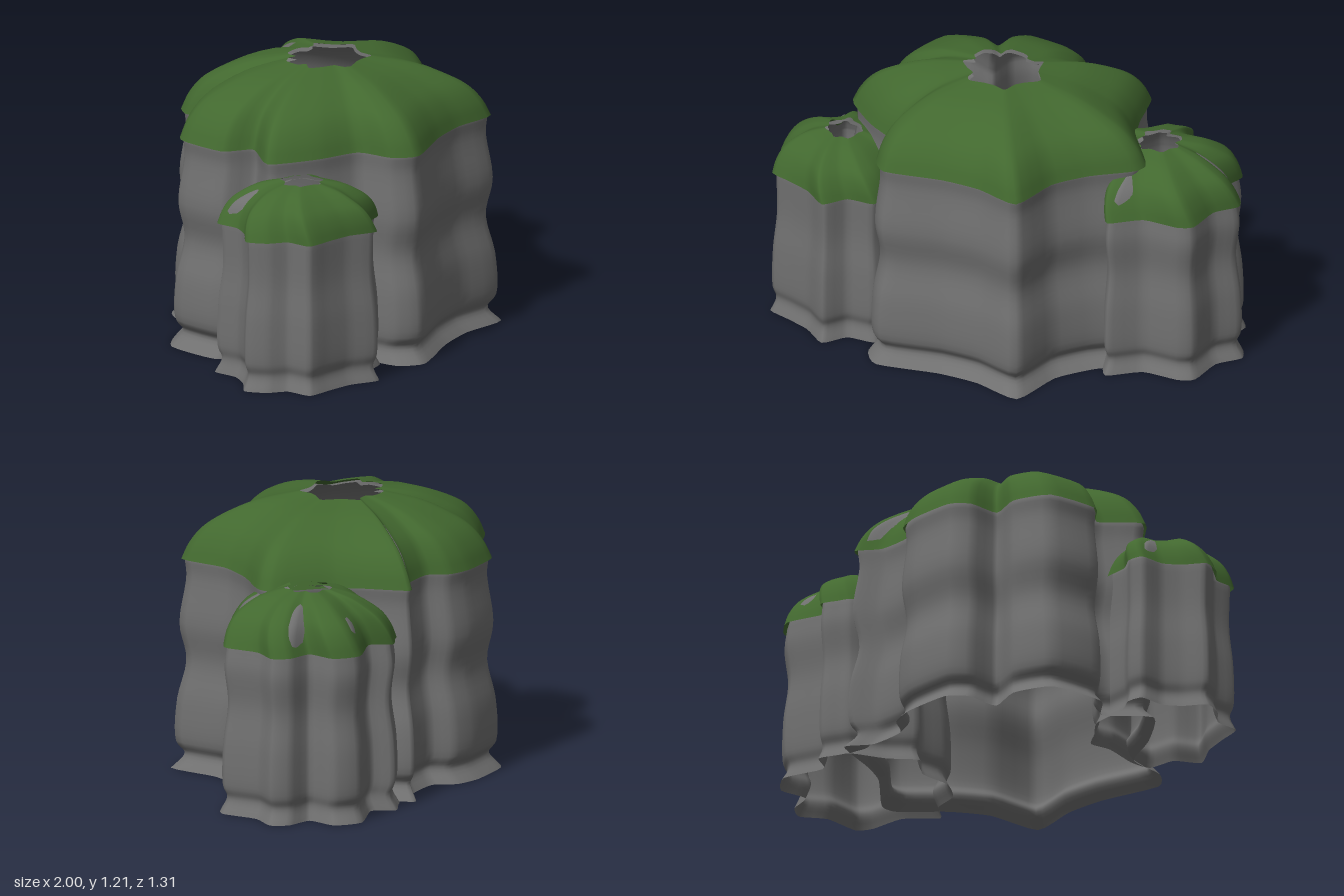
import * as THREE from 'three';

const stone = new THREE.MeshStandardMaterial({ name: 'stoneGrey', color: 0x707070, side: THREE.DoubleSide });
const moss = new THREE.MeshStandardMaterial({ name: 'mossGreen', color: 0x42682f, side: THREE.DoubleSide });

// Ground outlines as [x, z], starting on the +x side and turning towards +z
const mainOutline = [[0.69, -0.03], [0.55, 0.13], [0.46, 0.3], [0.44, 0.545], [0.22, 0.53], [0.03, 0.56], [-0.23, 0.65],
  [-0.33, 0.57], [-0.36, 0.4], [-0.55, 0.32], [-0.75, 0.18], [-0.62, 0.0], [-0.73, -0.1], [-0.71, -0.35],
  [-0.55, -0.44], [-0.4, -0.41], [-0.4, -0.56], [-0.33, -0.64], [-0.12, -0.66], [0, -0.63], [0.07, -0.545],
  [0.235, -0.555], [0.335, -0.635], [0.385, -0.535], [0.43, -0.42], [0.5, -0.3], [0.69, -0.12]];
const backOutline = [[0.94, -0.21], [0.95, -0.05], [0.89, 0], [0.73, 0.03], [0.62, 0.15], [0.54, 0.07],
  [0.42, 0.05], [0.34, -0.05], [0.33, -0.2], [0.23, -0.3], [0.31, -0.42], [0.37, -0.57], [0.42, -0.6], [0.5, -0.64],
  [0.565, -0.555], [0.745, -0.625], [0.85, -0.55], [0.84, -0.42], [0.95, -0.39], [1.0, -0.32]];
const frontOutline = [[-0.38, 0.25], [-0.34, 0.4], [-0.35, 0.5], [-0.47, 0.53], [-0.53, 0.635], [-0.65, 0.575],
  [-0.77, 0.55], [-0.88, 0.53], [-0.89, 0.42], [-0.96, 0.36], [-1.0, 0.27], [-0.92, 0.2], [-0.87, 0.12],
  [-0.87, 0.01], [-0.8, -0.01], [-0.72, 0.03], [-0.55, 0.03], [-0.45, 0.1], [-0.37, 0.15]];

// Wall profile as [scale, height]; dome profile as [scale, share of the cap height]
const wallProfile = [[1, 0], [0.92, 0.065], [0.97, 0.12], [0.965, 0.3], [0.91, 0.48], [0.95, 0.64], [0.91, 0.85], [0.92, 1]];
const domeProfile = [[1, 0], [0.95, 0.25], [0.87, 0.48], [0.77, 0.64], [0.54, 0.87], [0.27, 1]];

const spline = (points, count) =>
  new THREE.CatmullRomCurve3(points.map(([s, y]) => new THREE.Vector3(s, y, 0))).getPoints(count);

// Skins scaled, twisted copies of an outline; rows are [scale, y, twist]
function loft(outline, center, rows) {
  const curve = new THREE.CatmullRomCurve3(
    outline.map(([x, z]) => new THREE.Vector3(x - center[0], 0, z - center[1])), true, 'catmullrom', 0.3);
  const n = outline.length * 4;
  const ring = curve.getPoints(n).slice(0, n);
  const positions = [], index = [];
  rows.forEach(([s, y, twist = 0], r) => {
    const c = Math.cos(twist), d = Math.sin(twist);
    ring.forEach((p, i) => {
      positions.push(center[0] + s * (p.x * c - p.z * d), y, center[1] + s * (p.x * d + p.z * c));
      if (r + 1 < rows.length) {
        const a = r * n + i, b = r * n + (i + 1) % n;
        index.push(a, a + n, b, b, a + n, b + n);
      }
    });
  });
  const geometry = new THREE.BufferGeometry();
  geometry.setAttribute('position', new THREE.Float32BufferAttribute(positions, 3));
  geometry.setIndex(index);
  geometry.computeVertexNormals();
  return geometry;
}

// One fluted stone pillar, open at the bottom, with a mossy cap around a top hole
function pillar(name, outline, center, rimY, topY, rimScale, twist) {
  const group = new THREE.Group();
  group.name = name;
  const dome = spline(domeProfile, 20);
  const height = topY - rimY;
  const wall = spline(wallProfile.filter(([, y]) => y < rimY - 0.04).concat([[0.92, rimY]]), 32);
  const stoneRows = wall.map(p => [p.x, p.y])
    .concat(dome.slice(1).map(p => [p.x * 0.92, rimY + p.y * (height - 0.015)]));
  const mossRows = dome.map(p => [p.x * rimScale, rimY + p.y * height, twist * p.y]);

  const body = new THREE.Mesh(loft(outline, center, stoneRows), stone);
  body.name = name + 'Stone';
  const cap = new THREE.Mesh(loft(outline, center, mossRows), moss);
  cap.name = name + 'MossCap';
  group.add(body, cap);
  return group;
}

export function createModel() {
  const model = new THREE.Group();
  model.name = 'mossyRocks';
  model.add(
    pillar('mainRock', mainOutline, [-0.05, -0.02], 0.925, 1.205, 0.94, 0.04),
    pillar('backRock', backOutline, [0.6, -0.26], 0.735, 0.96, 0.965, 0.2),
    pillar('frontRock', frontOutline, [-0.65, 0.31], 0.67, 0.865, 0.975, 0.2));
  return model;
}
